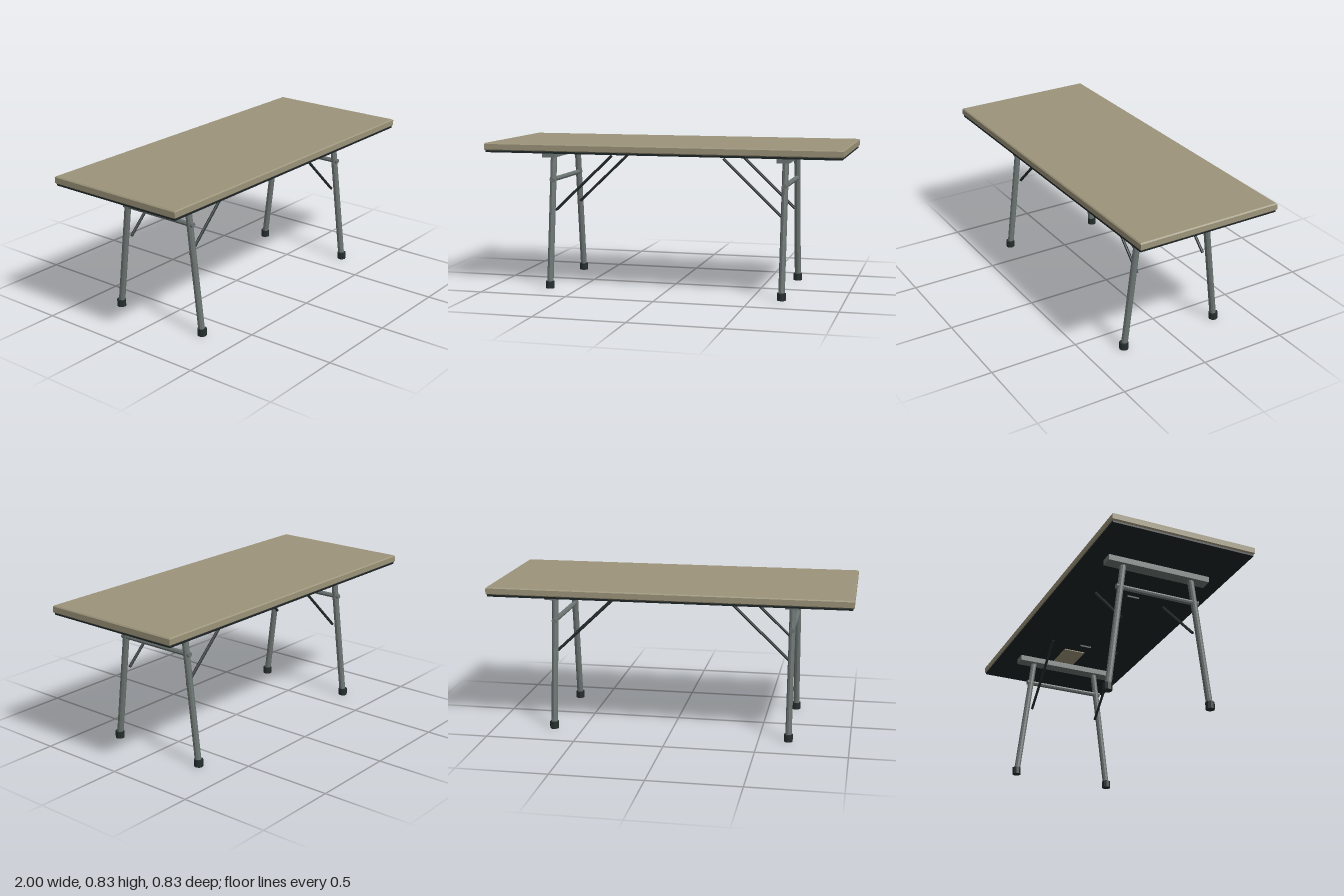
import * as THREE from 'three';

const mat = (name, color, flatShading = true) => {
  const m = new THREE.MeshStandardMaterial({ color });
  m.name = name;
  m.flatShading = flatShading;
  return m;
};

export function createModel() {
  const table = new THREE.Group();
  table.name = 'foldingTable';
  const tan = mat('tan', 0x9c947a);
  const metal = mat('greyMetal', 0x6c7573);
  const dark = mat('darkRubber', 0x262e2e);
  const under = mat('blackPanel', 0x1e2526);

  const add = (parent, name, geometry, material, x = 0, y = 0, z = 0) => {
    const mesh = new THREE.Mesh(geometry, material);
    mesh.name = name;
    mesh.position.set(x, y, z);
    parent.add(mesh);
    return mesh;
  };
  const box = (parent, name, material, w, h, d, x, y, z) =>
    add(parent, name, new THREE.BoxGeometry(w, h, d), material, x, y, z);

  // Round bar between two points
  const bar = (parent, name, material, a, b, radius, sides = 8) => {
    const from = new THREE.Vector3(...a), to = new THREE.Vector3(...b);
    const dir = to.clone().sub(from);
    const mesh = add(parent, name, new THREE.CylinderGeometry(radius, radius, dir.length(), sides), material);
    mesh.position.copy(from).add(to).multiplyScalar(0.5);
    mesh.quaternion.setFromUnitVectors(new THREE.Vector3(0, 1, 0), dir.normalize());
    return mesh;
  };

  // Table top with a small chamfer all round
  const bevel = 0.006, hx = 1 - bevel, hz = 0.415 - bevel;
  const outline = new THREE.Shape([
    new THREE.Vector2(-hx, -hz), new THREE.Vector2(hx, -hz),
    new THREE.Vector2(hx, hz), new THREE.Vector2(-hx, hz),
  ]);
  const slab = new THREE.ExtrudeGeometry(outline, {
    depth: 0.042 - 2 * bevel, bevelThickness: bevel, bevelSize: bevel, bevelSegments: 1,
  });
  slab.rotateX(-Math.PI / 2);
  add(table, 'tableTop', slab, tan, 0, 0.788 + bevel, 0);
  box(table, 'undersidePanel', under, 1.984, 0.011, 0.82, 0, 0.7835, 0);

  // Thin plate on the underside
  box(table, 'undersidePlate', tan, 0.18, 0.005, 0.13, 0.53, 0.7755, -0.02);

  // Two folding leg frames
  for (const sx of [-1, 1]) {
    const frame = new THREE.Group();
    frame.name = sx > 0 ? 'leftLegFrame' : 'rightLegFrame';
    table.add(frame);
    const x = sx * 0.665;
    box(frame, 'mountingRail', metal, 0.07, 0.034, 0.6, x, 0.762, 0);
    bar(frame, 'crossbar', metal, [x, 0.614, -0.235], [x, 0.614, 0.235], 0.014);

    for (const sz of [-1, 1]) {
      bar(frame, 'leg', metal, [x, 0.02, sz * 0.292], [x, 0.755, sz * 0.202], 0.018, 10);
      add(frame, 'foot', new THREE.CylinderGeometry(0.025, 0.025, 0.04, 10), dark, x, 0.02, sz * 0.294);
      // Collar where the crossbar passes through the leg
      bar(frame, 'crossbarCollar', metal, [x, 0.614, sz * 0.2], [x, 0.614, sz * 0.244], 0.015);
      // Diagonal folding brace
      bar(frame, 'brace', dark, [sx * 0.655, 0.437, sz * 0.21], [sx * 0.32, 0.755, sz * 0.21], 0.008);
    }

    // Brace catch under the panel
    box(frame, 'braceCatch', under, 0.05, 0.01, 0.07, sx * 0.34, 0.754, 0);
  }
  return table;
}
